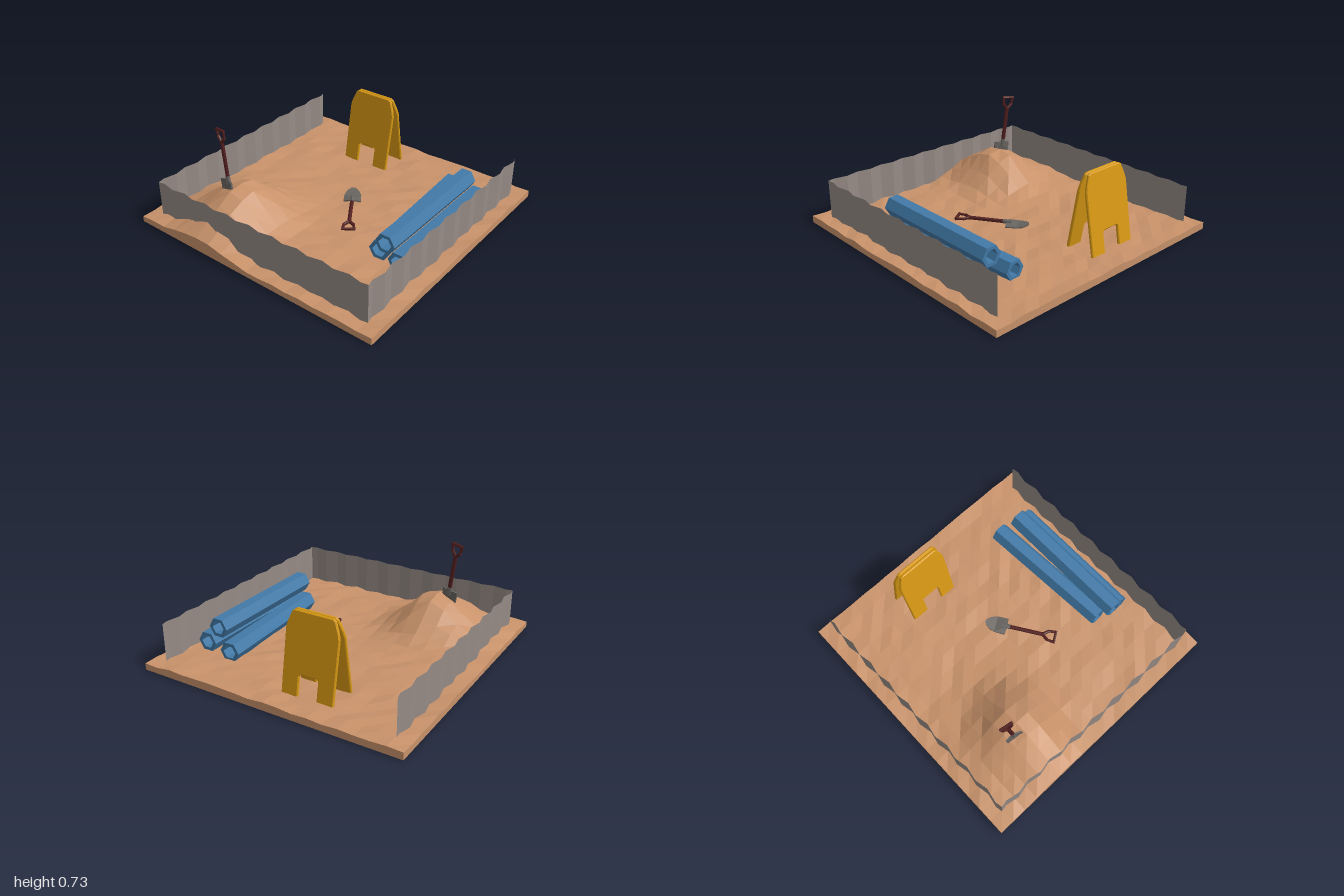
import * as THREE from 'three';

const mat = (color, side = THREE.FrontSide) =>
  new THREE.MeshStandardMaterial({ color, flatShading: true, side });
const sand = mat(0xc8926a), metalSheet = mat(0x968b86, THREE.DoubleSide), yellow = mat(0xd99a14),
  blue = mat(0x427aa8), wood = mat(0x521f1f), steel = mat(0x686460);

function add(parent, name, geometry, material, x = 0, y = 0, z = 0) {
  const mesh = new THREE.Mesh(geometry, material);
  mesh.name = name;
  mesh.position.set(x, y, z);
  parent.add(mesh);
  return mesh;
}

// Repeatable noise in 0..1 for a grid position
function noise(x, z) {
  const s = Math.sin(Math.round(x * 9) * 12.99 + Math.round(z * 9) * 78.23) * 43758.55;
  return s - Math.floor(s);
}

// Lumpy ground height with a steep mound near the front
function groundHeight(x, z) {
  const dx = (x + 0.41) / (x < -0.41 ? 0.32 : 0.23);
  const dz = (z - 0.55) / (z < 0.55 ? 0.29 : 0.38);
  return 0.042 + 0.018 * noise(x, z) + 0.285 * Math.exp(-dx * dx - dz * dz);
}

function ground() {
  const g = new THREE.BoxGeometry(2, 0.05, 2, 18, 1, 18);
  const p = g.attributes.position;
  for (let i = 0; i < p.count; i++) {
    const x = p.getX(i), z = p.getZ(i);
    // underside lifts slightly at one corner
    const base = 0.015 * ((1 - x) / 2) * ((1 + z) / 2);
    p.setY(i, p.getY(i) > 0 ? groundHeight(x, z) : base);
  }
  return g;
}

// Corrugated sheet 1.8 wide, rippled in z
function corrugatedSheet() {
  const g = new THREE.PlaneGeometry(1.8, 0.285, 36, 1);
  const p = g.attributes.position;
  for (let i = 0; i < p.count; i++) p.setZ(i, 0.01 * Math.sin(p.getX(i) * Math.PI * 2 / 0.2));
  return g;
}

// Hollow six-sided pipe running along z
function pipe() {
  const hexagon = r => Array.from({ length: 6 }, (_, i) =>
    new THREE.Vector2(r * Math.cos(i * Math.PI / 3), r * Math.sin(i * Math.PI / 3)));
  const shape = new THREE.Shape(hexagon(0.076));
  shape.holes.push(new THREE.Path(hexagon(0.05)));
  return new THREE.ExtrudeGeometry(shape, { depth: 1.02, bevelEnabled: false }).translate(0, 0, -0.51);
}

// Sign board with two feet and chamfered top corners
function signBoard() {
  const half = [[0.068, 0], [0.19, 0], [0.192, 0.44], [0.182, 0.48], [0.155, 0.55], [0.14, 0.56]];
  const notch = [[-0.078, 0], [-0.078, 0.14], [-0.066, 0.16], [0.066, 0.16], [0.078, 0.14], [0.078, 0]];
  const outline = [...notch, ...half.slice(1), ...half.slice(1).reverse().map(([x, y]) => [-x, y])];
  const shape = new THREE.Shape(outline.map(([x, y]) => new THREE.Vector2(x, y)));
  return new THREE.ExtrudeGeometry(shape, {
    depth: 0.012, bevelThickness: 0.006, bevelSize: 0.006, bevelSegments: 1
  }).translate(0, 0, -0.024);
}

// Tapered bar between two points
function bar(parent, name, a, b, r, material) {
  const from = new THREE.Vector3(...a), to = new THREE.Vector3(...b);
  const m = add(parent, name, new THREE.CylinderGeometry(r, r, from.distanceTo(to), 6), material);
  m.position.copy(from).lerp(to, 0.5);
  m.quaternion.setFromUnitVectors(new THREE.Vector3(0, 1, 0), to.sub(from).normalize());
}

// Shovel along y: the blade hangs below the origin, the handle rises above
function shovel(name) {
  const s = new THREE.Group();
  s.name = name;
  const side = [[0.064, 0], [0.062, -0.08], [0.045, -0.125], [0.018, -0.155]];
  const pts = [...side.slice().reverse(), ...side.map(([x, y]) => [-x, y])];
  // centre-line points let the blade bend
  pts.splice(4, 0, [0, 0.008]);
  pts.push([0, -0.16]);
  const shape = new THREE.Shape(pts.map(([x, y]) => new THREE.Vector2(x, y)));
  const blade = new THREE.ExtrudeGeometry(shape, { depth: 0.012, bevelEnabled: false });
  const p = blade.attributes.position;
  for (let i = 0; i < p.count; i++) p.setZ(i, p.getZ(i) - 0.006 + 4 * p.getX(i) ** 2);
  add(s, 'shovelBlade', blade, steel);
  add(s, 'shovelSocket', new THREE.CylinderGeometry(0.017, 0.02, 0.06, 6), steel, 0, 0, 0);
  bar(s, 'shovelShaft', [0, 0, 0], [0, 0.285, 0], 0.015, wood);
  for (const k of [-1, 1]) {
    bar(s, 'handleFork', [0, 0.275, 0], [k * 0.036, 0.32, 0], 0.012, wood);
    bar(s, 'handleSide', [k * 0.034, 0.315, 0], [k * 0.041, 0.37, 0], 0.01, wood);
  }
  bar(s, 'handleGrip', [-0.048, 0.37, 0], [0.048, 0.37, 0], 0.011, wood);
  return s;
}

export function createModel() {
  const model = new THREE.Group();
  model.name = 'constructionSite';
  add(model, 'ground', ground(), sand);

  // Fence on three sides, open at the back
  const sheet = corrugatedSheet();
  add(model, 'frontFence', sheet, metalSheet, 0, 0.1875, 0.9);
  for (const k of [-1, 1])
    add(model, k > 0 ? 'leftFence' : 'rightFence', sheet, metalSheet, k * 0.9, 0.1875, 0).rotation.y = Math.PI / 2;

  // Folding sign: two leaning boards
  const sign = new THREE.Group();
  sign.name = 'foldingSign';
  sign.position.set(-0.213, 0.05, -0.697);
  const board = signBoard();
  for (const k of [0, 1]) {
    const leaf = new THREE.Group();
    leaf.name = k ? 'backBoard' : 'frontBoard';
    leaf.rotation.y = k * Math.PI;
    add(leaf, 'board', board, yellow, 0, 0, 0.127).rotation.x = -0.174;
    sign.add(leaf);
  }
  model.add(sign);

  // Pipe stack: two on the ground, one on top
  const pipeGeometry = pipe();
  for (const [x, y, z, turn] of [[0.563, 0.11, -0.15, 0.054], [0.765, 0.115, -0.11, 0], [0.676, 0.235, -0.09, 0]])
    add(model, 'pipe', pipeGeometry, blue, x, y, z).rotation.y = turn;

  // One shovel stuck in the mound, one lying on the ground
  const standing = shovel('standingShovel');
  standing.position.set(-0.52, 0.35, 0.603);
  standing.rotation.set(0, -0.2, 0.14);
  const lying = shovel('lyingShovel');
  lying.position.set(0.05, 0.07, -0.065);
  lying.rotation.set(Math.PI / 2, 0.577, 0, 'YXZ');
  model.add(standing, lying);
  return model;
}
